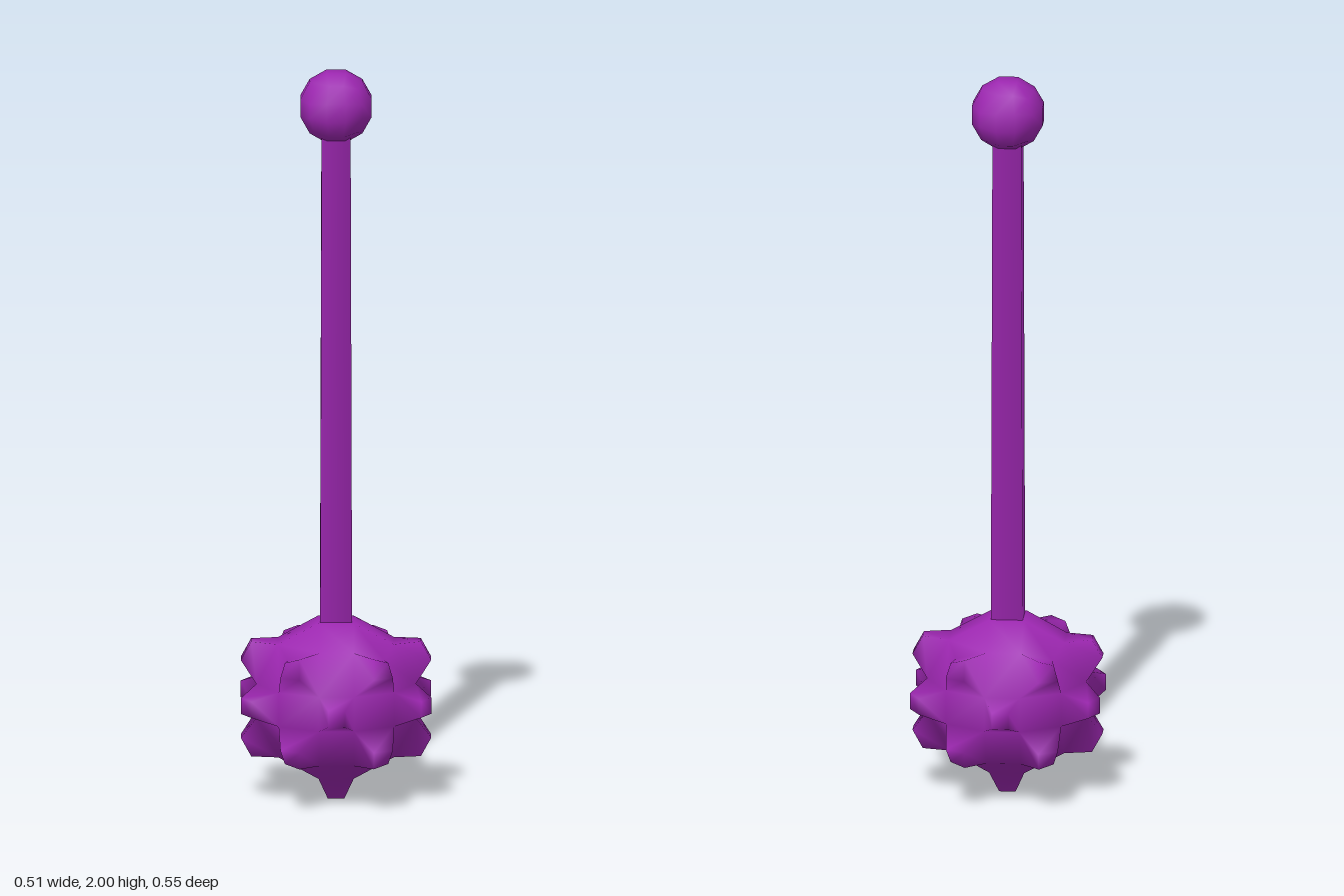
import * as THREE from 'three';
import { mergeVertices } from 'three/addons/utils/BufferGeometryUtils.js';

// Cube-based sphere, 3x3 cells per side. spikeHeight(axis, sign, i, j) > 0
// extrudes that cell into a tapered stud.
function quadSphere(radius, inner, rim, spikeHeight) {
  const pos = [];
  const quad = (a, b, c, d) => {
    for (const p of [a, b, c, a, c, d]) pos.push(p.x, p.y, p.z);
  };
  const line = (k, near) => [-1, -near, near, 1][k];
  for (let axis = 0; axis < 3; axis++) {
    for (const sign of [1, -1]) {
      const point = (i, j) => {
        const u = line(i, j % 3 === 0 ? rim : inner);
        const v = line(j, i % 3 === 0 ? rim : inner);
        const c = [0, 0, 0];
        c[axis] = sign;
        c[(axis + 1) % 3] = u * sign; // keeps the winding outward on both sides
        c[(axis + 2) % 3] = v;
        return new THREE.Vector3(...c).setLength(radius);
      };
      for (let i = 0; i < 3; i++) {
        for (let j = 0; j < 3; j++) {
          const base = [point(i, j), point(i + 1, j), point(i + 1, j + 1), point(i, j + 1)];
          const h = spikeHeight(axis, sign, i, j);
          if (!h) {
            quad(...base);
            continue;
          }
          const mid = new THREE.Vector3();
          base.forEach((p) => mid.addScaledVector(p, 0.25));
          const normal = base[2].clone().sub(base[0])
            .cross(base[3].clone().sub(base[1])).normalize();
          const tip = base.map((p) => mid.clone().lerp(p, 0.47).addScaledVector(normal, h));
          for (let k = 0; k < 4; k++) {
            const n = (k + 1) % 4;
            quad(base[k], base[n], tip[n], tip[k]);
          }
          quad(...tip);
        }
      }
    }
  }
  let geo = new THREE.BufferGeometry();
  geo.setAttribute('position', new THREE.Float32BufferAttribute(pos, 3));
  geo = mergeVertices(geo, 1e-4);
  geo.computeVertexNormals();
  return geo;
}

// Which cells of the head carry a stud
function headSpike(axis, sign, i, j) {
  const middles = (i === 1) + (j === 1); // 2 centre, 1 edge, 0 corner
  if (axis === 0) return middles === 1 ? 0.065 : 0;
  if (axis === 1) return middles === 2 && sign < 0 ? 0.06 : 0;
  if (middles === 2) return 0.06;
  return middles === 0 ? 0.067 : 0;
}

export function createModel() {
  const group = new THREE.Group();
  group.name = 'mace';
  const material = new THREE.MeshStandardMaterial({ color: 0x9c27b0 });
  const add = (name, geometry, y) => {
    const mesh = new THREE.Mesh(geometry, material);
    mesh.name = name;
    mesh.position.y = y;
    group.add(mesh);
    return mesh;
  };

  // Studded head
  add('spikedHead', quadSphere(0.225, 0.22, 0.3, headSpike), 0.275);

  // Square, slightly tapered handle
  const bottom = 0.48, top = 1.85;
  const shaft = new THREE.CylinderGeometry(
    0.039 * Math.SQRT2, 0.043 * Math.SQRT2, top - bottom, 4, 1);
  shaft.rotateY(Math.PI / 4);
  add('handle', shaft, (top + bottom) / 2);

  // Round pommel
  const a = Math.tan(Math.PI / 12);
  add('pommel', quadSphere(0.102, a, a, () => 0), 1.905);

  return group;
}
